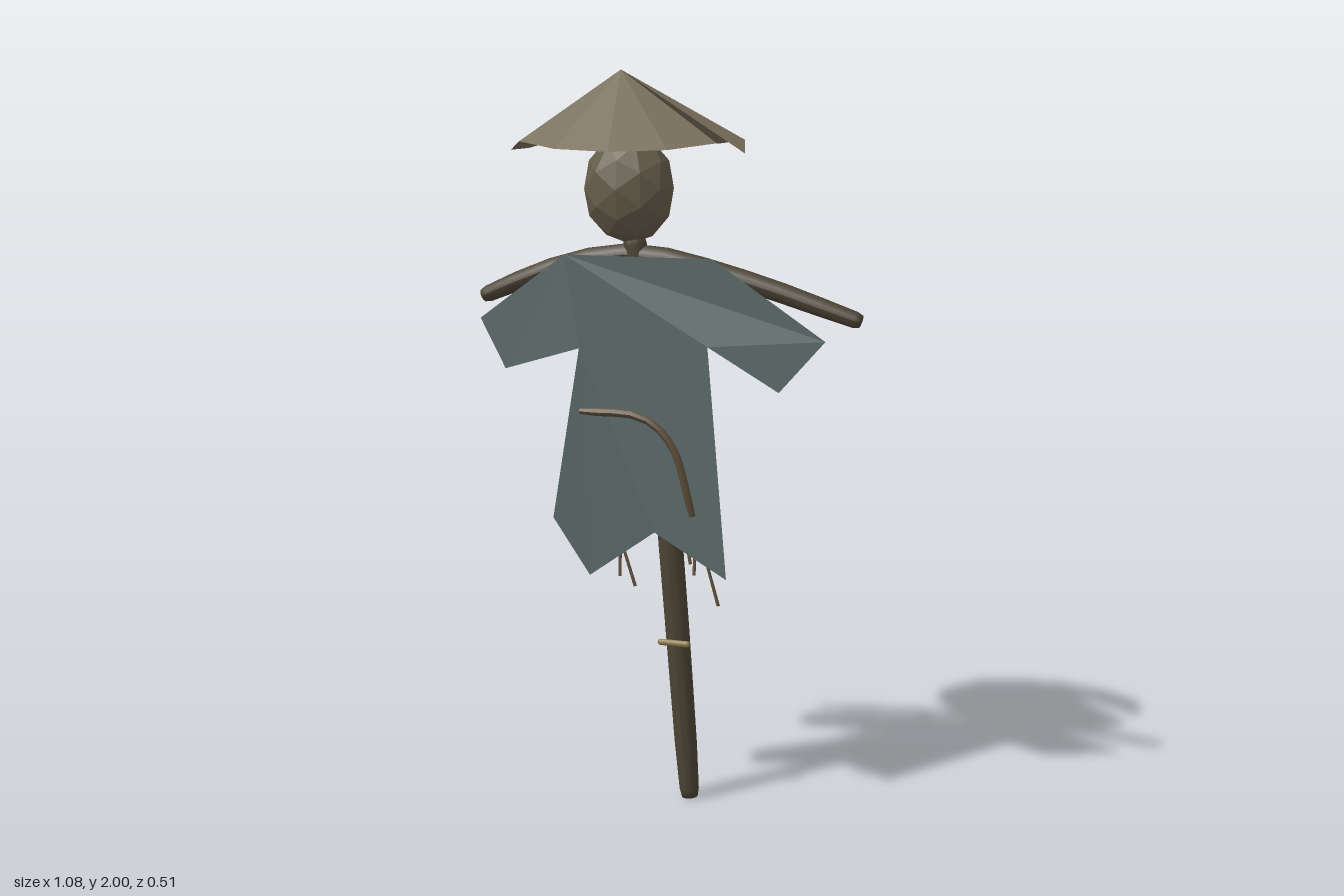
import * as THREE from 'three';

const V = (x, y, z) => new THREE.Vector3(x, y, z);
const mat = (name, color, extra = {}) => Object.assign(new THREE.MeshStandardMaterial({ color, ...extra }), { name });

// Tapered pole along a curve: ring positions ts and radii rs, closed at both ends.
function taperedPole(points, ts, rs, sides = 14) {
  const curve = new THREE.CatmullRomCurve3(points);
  const n = ts.length - 1;
  const geo = new THREE.TubeGeometry(curve, n, 1, sides);
  const pos = geo.attributes.position;
  const v = new THREE.Vector3();
  for (let i = 0; i <= n; i++) {
    const from = curve.getPointAt(i / n), to = curve.getPointAt(ts[i]);
    for (let j = 0; j <= sides; j++) {
      const k = i * (sides + 1) + j;
      v.fromBufferAttribute(pos, k).sub(from).multiplyScalar(rs[i]).add(to);
      pos.setXYZ(k, v.x, v.y, v.z);
    }
  }
  geo.computeVertexNormals();
  return geo;
}

// Split pointed-brim hat: 13 slots around the brim, one left open.
function hatGeometry() {
  const brimY = [1.785, 1.815, 1.8, 1.795, 1.8, 1.815, 1.787];
  const slots = 13, verts = [];
  const rim = (k) => {
    const a = (k / slots) * Math.PI * 2;
    return [-0.105 + 0.325 * Math.cos(a), brimY[Math.min(k, slots - k)], 0.257 * Math.sin(a)];
  };
  for (let k = 1; k < slots; k++) verts.push(-0.13, 2, -0.01, ...rim(k + 1), ...rim(k));
  const geo = new THREE.BufferGeometry();
  geo.setAttribute('position', new THREE.Float32BufferAttribute(verts, 3));
  geo.computeVertexNormals();
  return geo;
}

// Ragged tunic sheet, outline given as x, y, z corners.
function tunicGeometry() {
  const outline = [
    [-0.27, 1.51, 0.058], [-0.53, 1.325, 0.035], [-0.45, 1.19, 0.05], [-0.22, 1.26, 0.08],
    [-0.295, 0.79, 0.09], [-0.19, 0.635, 0.085], [0, 0.77, 0.09], [0.21, 0.66, 0.108],
    [0.145, 1.28, 0.078], [0.34, 1.167, 0.07], [0.46, 1.305, 0.053], [0.15, 1.51, 0.055],
  ];
  const faces = THREE.ShapeUtils.triangulateShape(outline.map(([x, y]) => new THREE.Vector2(x, y)), []);
  const geo = new THREE.BufferGeometry();
  geo.setAttribute('position', new THREE.Float32BufferAttribute(faces.flat().flatMap((i) => outline[i]), 3));
  geo.computeVertexNormals();
  return geo;
}

export function createModel() {
  const group = new THREE.Group();
  const wood = mat('dark wood', 0x4c4435);
  const sack = mat('sackcloth', 0x665d4b, { flatShading: true });
  const hatStraw = mat('hat straw', 0x796f5b, { flatShading: true, side: THREE.DoubleSide });
  const cloth = mat('faded cloth', 0x586766, { flatShading: true, side: THREE.DoubleSide });
  const strawMat = mat('old straw', 0x5d4d3a);
  const cord = mat('cord', 0x8f7a4c);
  const add = (name, geo, material, parent = group) => {
    const mesh = new THREE.Mesh(geo, material);
    mesh.name = name;
    parent.add(mesh);
    return mesh;
  };

  // Leaning post and bowed crossbar
  add('post', taperedPole(
    [V(0.072, 0, 0), V(0.037, 0.45, 0), V(0.008, 0.8, 0), V(-0.09, 1.56, 0)],
    [0, 0, 0.015, 0.1, 0.3, 0.5, 0.7, 0.9, 0.985, 1, 1],
    [0, 0.022, 0.027, 0.031, 0.033, 0.034, 0.034, 0.033, 0.032, 0.028, 0]), wood);
  add('crossbar', taperedPole(
    [V(-0.535, 1.383, 0), V(-0.3, 1.475, 0.002), V(-0.09, 1.512, 0), V(0.2, 1.455, -0.01), V(0.535, 1.352, -0.022)],
    [0, 0, 0.015, 0.1, 0.2, 0.3, 0.4, 0.5, 0.6, 0.7, 0.8, 0.9, 0.985, 1, 1],
    [0, 0.018, 0.023, 0.027, 0.028, 0.029, 0.029, 0.029, 0.029, 0.028, 0.027, 0.025, 0.022, 0.017, 0]), wood);

  // Faceted head and split hat
  const head = add('head', new THREE.IcosahedronGeometry(1, 1), sack);
  head.scale.set(0.126, 0.148, 0.106);
  head.position.set(-0.1, 1.688, 0.01);
  add('hat', hatGeometry(), hatStraw);

  // Tunic with a bent twig across its front
  add('tunic', tunicGeometry(), cloth);
  add('bentTwig', taperedPole(
    [V(-0.2, 1.097, 0.124), V(-0.02, 1.088, 0.124), V(0.06, 1.02, 0.124), V(0.12, 0.83, 0.124)],
    [0, 0, 0.1, 0.2, 0.3, 0.4, 0.48, 0.56, 0.64, 0.72, 0.8, 0.9, 1, 1],
    [0, 0.008, ...Array(10).fill(0.011), 0.009, 0], 8), strawMat);

  // Cord ties
  [0.45, 0.97, 1.42].forEach((y) => {
    const tie = add('cordTie', new THREE.CapsuleGeometry(0.009, 0.076, 4, 8), cord);
    tie.rotation.z = Math.PI / 2;
    tie.position.set(0.038, y, 0.038);
  });

  // Loose straw hanging behind the tunic
  const straw = new THREE.Group();
  straw.name = 'strawStuffing';
  group.add(straw);
  let seed = 11;
  const rand = () => (seed = (seed * 16807) % 2147483647) / 2147483647;
  const stalk = (x0, y0, z0, x1, y1, z1) => {
    const a = V(x0, y0, z0), b = V(x1, y1, z1);
    const mesh = add('strawStalk', new THREE.CylinderGeometry(0.004, 0.005, a.distanceTo(b), 5), strawMat, straw);
    mesh.position.copy(a).add(b).multiplyScalar(0.5);
    mesh.quaternion.setFromUnitVectors(V(0, 1, 0), a.sub(b).normalize());
  };
  for (let i = 0; i < 40; i++) {
    const x = -0.17 + 0.28 * rand(), y = 0.9 + 0.4 * (i / 39);
    const z = 0.015 + 0.02 * rand(), lean = (rand() - 0.45) * 0.13;
    stalk(x, y, z, x + lean, y - 0.14 - 0.07 * rand(), z + 0.025);
  }
  // Stalks poking out past the hem and under the sleeve
  [[-0.12, 0.78, -0.115, 0.63], [-0.13, 0.76, -0.07, 0.605], [0.1, 0.78, 0.1, 0.65], [0.06, 0.8, 0.09, 0.68],
    [0.11, 0.75, 0.17, 0.57], [-0.215, 1.27, -0.25, 1.11], [-0.2, 1.28, -0.235, 1.14]]
    .forEach(([x0, y0, x1, y1]) => stalk(x0, y0, 0.03, x1, y1, 0.05));

  return group;
}
